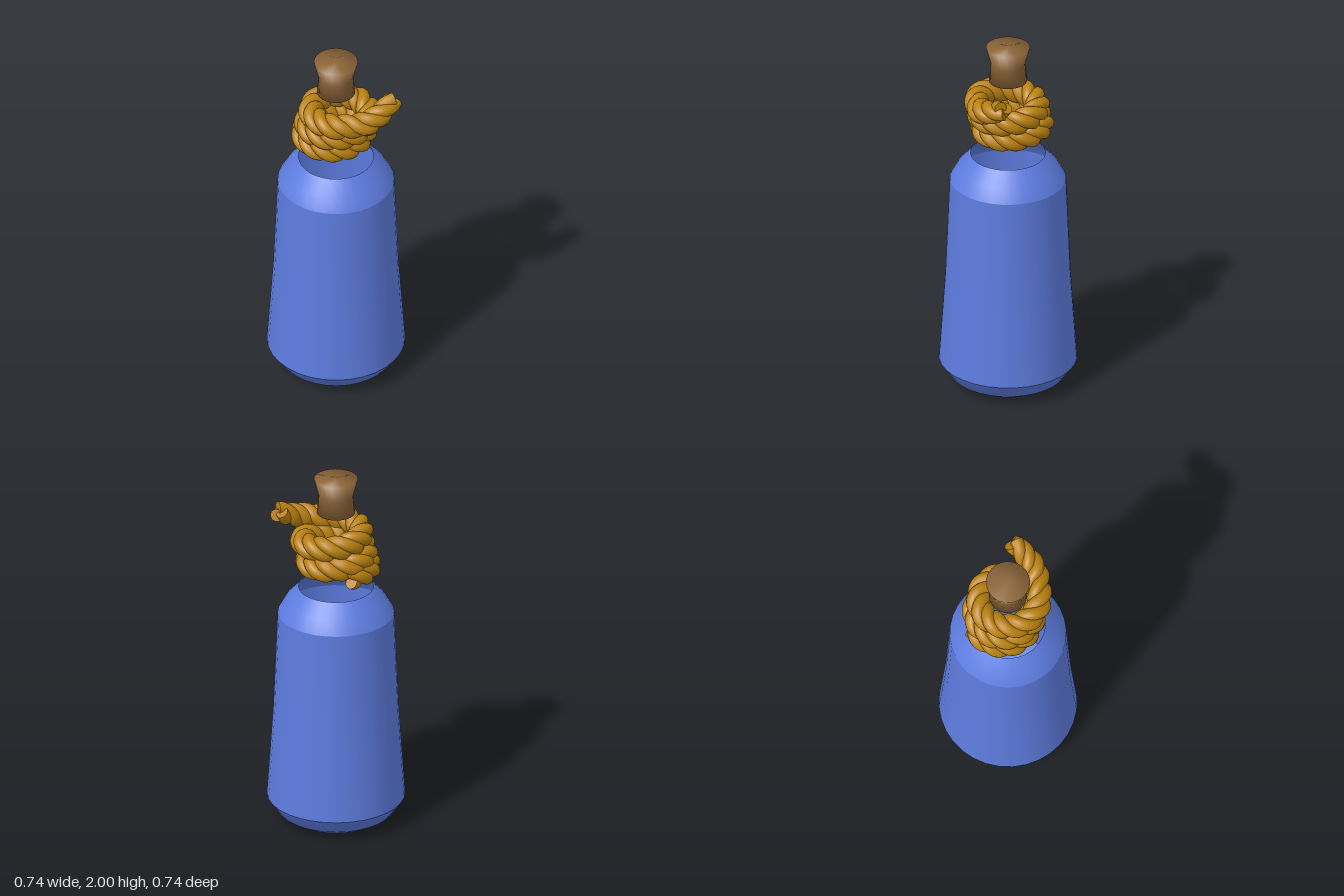
import * as THREE from 'three';

const glass = new THREE.MeshStandardMaterial({ color: 0x5d7cdf, side: THREE.DoubleSide });
glass.name = 'blue glass';
const hemp = new THREE.MeshStandardMaterial({ color: 0xb9810f, side: THREE.DoubleSide });
hemp.name = 'golden rope';
const bark = new THREE.MeshStandardMaterial({ color: 0x8c6538, side: THREE.DoubleSide });
bark.name = 'brown cork';

function lathe(name, profile, sides, material) {
  const points = profile.map(([r, y]) => new THREE.Vector2(r, y));
  const mesh = new THREE.Mesh(new THREE.LatheGeometry(points, sides), material);
  mesh.name = name;
  return mesh;
}

// Centre line of the rope: rising coils, then a tail leaving at the right
function ropePath() {
  const points = [];
  const start = 0.85 * Math.PI, end = 5.85 * Math.PI, steps = 44;
  for (let i = 0; i <= steps; i++) {
    const t = i / steps;
    const a = start + (end - start) * t;
    const rise = THREE.MathUtils.smoothstep(t, 0.05, 1.05);
    const r = 0.16;
    points.push(new THREE.Vector3(
      -0.03 + 0.06 * rise + r * Math.cos(a),
      1.498 + 0.195 * rise,
      -0.012 - r * Math.sin(a)));
  }
  points.push(
    new THREE.Vector3(0.225, 1.705, 0.0),
    new THREE.Vector3(0.248, 1.735, -0.09),
    new THREE.Vector3(0.25, 1.78, -0.18));
  return new THREE.CatmullRomCurve3(points);
}

// One strand winding right-handed around the rope's centre line
class Strand extends THREE.Curve {
  constructor(path, phase) {
    super();
    this.path = path;
    this.phase = phase;
    this.turns = path.getLength() / 0.26;
  }
  getPoint(t, target = new THREE.Vector3()) {
    const u = THREE.MathUtils.clamp(t, 0, 1);
    const along = this.path.getTangentAt(u);
    const right = along.clone().cross(new THREE.Vector3(0, 1, 0)).normalize();
    const up = right.clone().cross(along);
    const a = this.phase + u * this.turns * Math.PI * 2;
    const offset = 0.034 - 0.011 * THREE.MathUtils.smoothstep(u, 0.93, 1);
    return target.copy(this.path.getPointAt(u))
      .addScaledVector(up, offset * Math.cos(a))
      .addScaledVector(right, offset * Math.sin(a));
  }
}

function buildRope() {
  const rope = new THREE.Group();
  rope.name = 'rope';
  const path = ropePath();
  const radius = 0.035;
  for (let i = 0; i < 3; i++) {
    const curve = new Strand(path, i * Math.PI * 2 / 3);
    const strand = new THREE.Mesh(new THREE.TubeGeometry(curve, 260, radius, 12), hemp);
    strand.name = 'ropeStrand';
    rope.add(strand);
    // Flat cut at both ends
    for (const t of [0, 1]) {
      const cap = new THREE.Mesh(new THREE.CircleGeometry(radius, 12), hemp);
      cap.name = 'ropeEnd';
      const p = curve.getPoint(t);
      const dir = curve.getTangent(t).multiplyScalar(t ? 1 : -1);
      cap.position.copy(p);
      cap.lookAt(p.clone().add(dir));
      rope.add(cap);
    }
  }
  return rope;
}

export function createModel() {
  const model = new THREE.Group();
  model.name = 'bottle';

  // Open bottle, split at its sharp edges
  model.add(
    lathe('bottleBase', [[0, 0], [0.24, 0.004], [0.31, 0.045], [0.37, 0.13]], 32, glass),
    lathe('bottleBody', [[0.37, 0.13], [0.335, 0.65], [0.312, 1.21]], 32, glass),
    lathe('bottleShoulder', [[0.312, 1.21], [0.27, 1.285], [0.2, 1.36]], 32, glass));

  model.add(buildRope());

  // Waisted stopper floating above the neck
  model.add(lathe('cork',
    [[0, 1.8], [0.103, 1.8], [0.092, 1.9], [0.118, 2], [0, 2]], 24, bark));

  return model;
}
